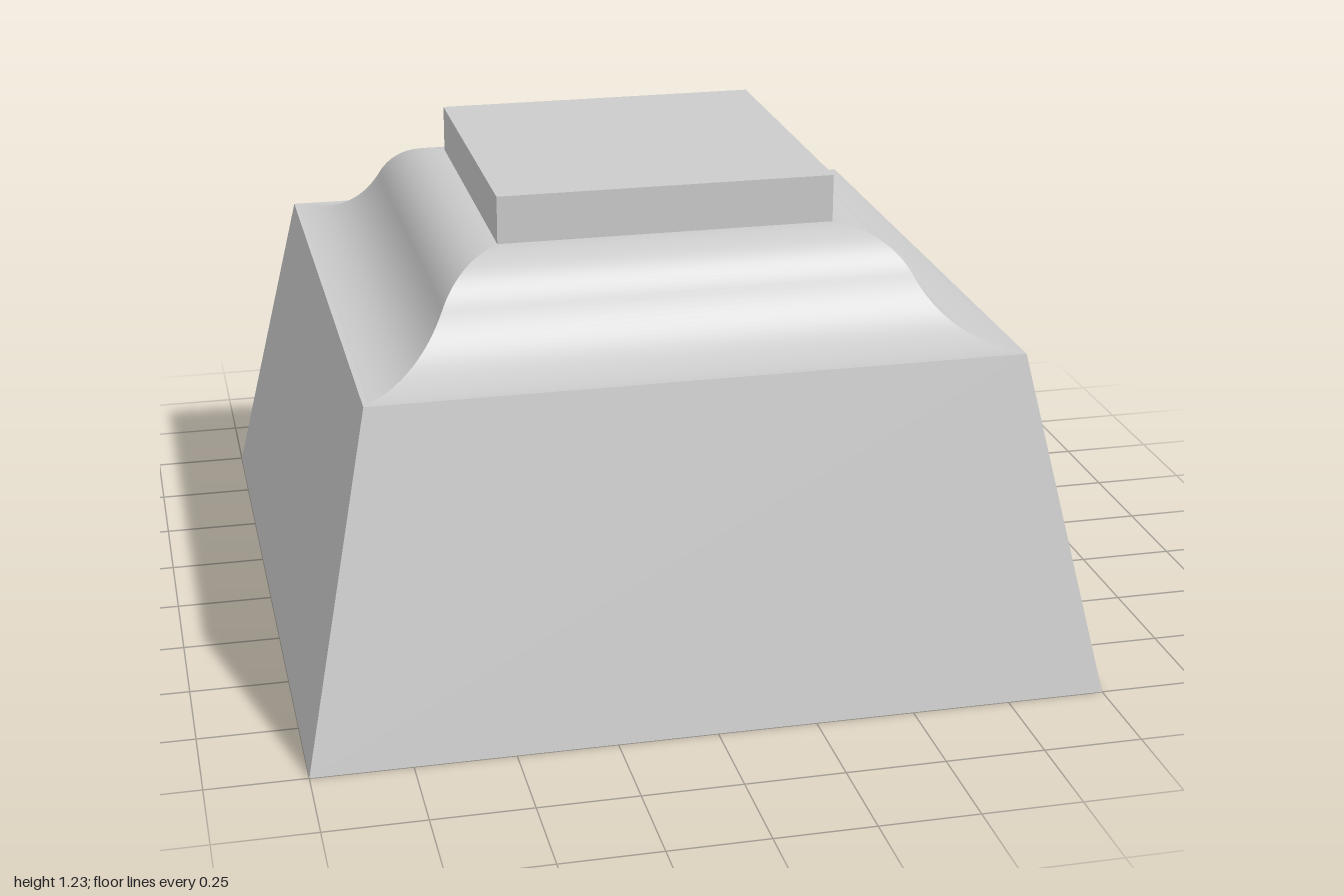
import * as THREE from 'three';
import { mergeGeometries } from 'three/addons/utils/BufferGeometryUtils.js';

// One face of a square moulding: sweeps the profile (half-width, height) between mitred corners
function mouldingSide(profile) {
  const positions = [], index = [];
  profile.forEach((p, i) => {
    positions.push(-p.x, p.y, p.x, p.x, p.y, p.x);
    if (i > 0) {
      const a = 2 * (i - 1);
      index.push(a, a + 1, a + 3, a, a + 3, a + 2);
    }
  });
  const geometry = new THREE.BufferGeometry();
  geometry.setAttribute('position', new THREE.Float32BufferAttribute(positions, 3));
  geometry.setIndex(index);
  geometry.computeVertexNormals();
  return geometry;
}

export function createModel() {
  const group = new THREE.Group();
  const smooth = new THREE.MeshStandardMaterial({ color: 0xcccccc });
  const flat = new THREE.MeshStandardMaterial({ color: 0xcccccc, flatShading: true });
  const add = (name, geometry, material) => {
    const mesh = new THREE.Mesh(geometry, material);
    mesh.name = name;
    group.add(mesh);
    return mesh;
  };

  // Tapered square base
  const baseHeight = 0.86;
  const base = new THREE.CylinderGeometry(0.818 * Math.SQRT2, Math.SQRT2, baseHeight, 4, 1, false, Math.PI / 4);
  add('taperedBase', base, flat).position.y = baseHeight / 2;

  // S-curved moulding: a hollow sweep below a rounded shoulder
  const v = (x, y) => new THREE.Vector2(x, y);
  const shoulderTop = 1.108;
  const hollow = new THREE.CubicBezierCurve(v(0.805, baseHeight), v(0.71, 0.863), v(0.64, 0.915), v(0.597, 1.0));
  const shoulder = new THREE.CubicBezierCurve(v(0.597, 1.0), v(0.565, 1.068), v(0.51, shoulderTop), v(0.43, shoulderTop));
  const profile = [...hollow.getPoints(20), ...shoulder.getPoints(20).slice(1)];
  const sides = [0, 1, 2, 3].map((i) => mouldingSide(profile).rotateY((i * Math.PI) / 2));
  add('curvedMoulding', mergeGeometries(sides), smooth);

  // Square cap block
  const capHeight = 1.23 - shoulderTop;
  add('capBlock', new THREE.BoxGeometry(0.86, capHeight, 0.86), flat).position.y = shoulderTop + capHeight / 2;

  return group;
}
